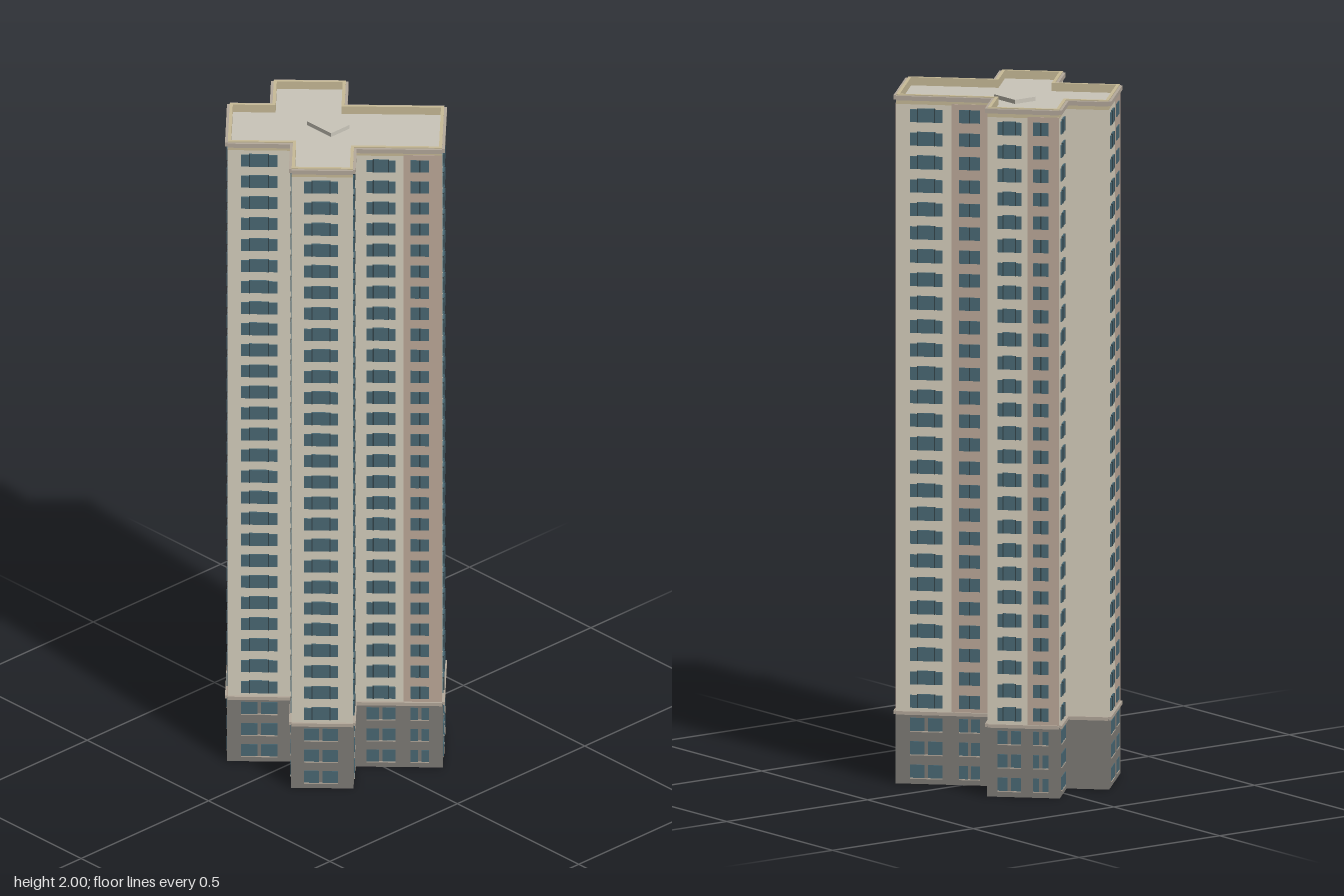
import * as THREE from 'three';
import { mergeGeometries } from 'three/addons/utils/BufferGeometryUtils.js';

const mat = (name, color) => {
  const m = new THREE.MeshStandardMaterial({ color });
  m.name = name;
  return m;
};

// Footprint corners (x, z), listed so each wall runs left to right seen from outside
const PLAN = [
  [0.135, -0.296], [-0.065, -0.096], [-0.167, -0.198], [-0.312, -0.053],
  [-0.212, 0.047], [-0.298, 0.133], [-0.136, 0.295], [-0.005, 0.164],
  [0.105, 0.274], [0.228, 0.151], [0.135, 0.058], [0.312, -0.119],
];
const COUNT = PLAN.length;
const TWO_BAY = [0, 2, 5, 10, 11]; // walls with a wide bay and a narrow tinted bay
const BLANK = 4;                   // wall without windows
const FLOOR = 0.068, FLOORS = 29, BASE_FLOORS = 3;
const BASE_TOP = 0.205, ROOF = 1.976, SPLIT = 0.56;

const walls = PLAN.map((a, i) => {
  const b = PLAN[(i + 1) % COUNT];
  const dx = b[0] - a[0], dz = b[1] - a[1], length = Math.hypot(dx, dz);
  return { a, dx, dz, length, nx: -dz / length, nz: dx / length };
});

// Footprint pushed outward by o (all corners are square)
const outline = (o) => PLAN.map(([x, z], i) => {
  const p = walls[(i + COUNT - 1) % COUNT], n = walls[i];
  return new THREE.Vector2(x + o * (p.nx + n.nx), -(z + o * (p.nz + n.nz)));
});

// Vertical prism on the footprint, optionally hollow
function prism(o, y0, y1, inner) {
  const shape = new THREE.Shape(outline(o));
  if (inner !== undefined) shape.holes.push(new THREE.Path(outline(inner)));
  return new THREE.ExtrudeGeometry(shape, { depth: y1 - y0, bevelEnabled: false })
    .rotateX(-Math.PI / 2).translate(0, y0, 0);
}

// Box on a wall: s0..s1 along it, y0..y1 up, d0..d1 outward
function onWall(w, s0, s1, y0, y1, d0, d1) {
  const s = (s0 + s1) / 2 / w.length, d = (d0 + d1) / 2;
  return new THREE.BoxGeometry(s1 - s0, y1 - y0, d1 - d0)
    .rotateY(Math.atan2(w.nx, w.nz))
    .translate(w.a[0] + w.dx * s + w.nx * d, (y0 + y1) / 2, w.a[1] + w.dz * s + w.nz * d);
}

export function createModel() {
  const cream = mat('cream wall', 0xd8d1bf);
  const tan = mat('pinkish tan wall', 0xbfab9b);
  const grey = mat('grey base', 0x7f7c77);
  const roofMat = mat('roof', 0xcac6ba);
  const coping = mat('parapet tan', 0xc9bc98);
  const ledge = mat('ledge', 0xb5aa9c);
  const glass = mat('window glass', 0x4a6975);
  const frame = mat('dark window frame', 0x33444a);

  const group = new THREE.Group();
  group.name = 'towerBlock';
  const add = (name, geometry, material) => {
    const mesh = new THREE.Mesh(geometry, material);
    mesh.name = name;
    group.add(mesh);
  };

  // Main masses, roof and parapet
  add('base', prism(0.002, 0, BASE_TOP), grey);
  add('tower', prism(0, BASE_TOP, ROOF - 0.004), cream);
  add('roofDeck', prism(-0.001, ROOF - 0.004, ROOF), roofMat);
  add('parapet', prism(0, ROOF - 0.004, 2, -0.009), coping);
  add('roofHatch', new THREE.BoxGeometry(0.1, 0.012, 0.073).translate(-0.035, ROOF + 0.006, -0.003), roofMat);

  const ledges = [], bays = [], panes = [], frames = [], sills = [];
  walls.forEach((w, i) => {
    // Separate ledge strips on each wall, open at the corners
    ledges.push(onWall(w, 0, w.length, 1.984, 1.997, 0, 0.008));
    ledges.push(onWall(w, 0, w.length, BASE_TOP - 0.004, BASE_TOP + 0.006, 0, 0.008));
    if (i === BLANK) return;

    const two = TWO_BAY.includes(i);
    if (two) bays.push(onWall(w, w.length * SPLIT, w.length, BASE_TOP, ROOF, 0, 0.0015));
    const columns = two ? [[0.14, 0.47], [0.64, 0.85]] : [[0.2, 0.76]];

    for (const [t0, t1] of columns) {
      const s0 = t0 * w.length, s1 = t1 * w.length, width = s1 - s0;
      for (let f = 0; f < FLOORS; f++) {
        const y = 0.037 + f * FLOOR;
        const inBase = f < BASE_FLOORS;
        const mid = (s0 + s1) / 2;
        if (inBase || width < 0.06) {
          // Paired casements
          const gap = inBase ? 0.005 : 0.002;
          panes.push(onWall(w, s0, mid - gap, y - 0.019, y + 0.019, 0, 0.004));
          panes.push(onWall(w, mid + gap, s1, y - 0.019, y + 0.019, 0, 0.004));
          if (inBase) sills.push(onWall(w, s0, s1, y - 0.022, y - 0.019, 0, 0.005));
          else frames.push(onWall(w, mid - gap, mid + gap, y - 0.019, y + 0.019, 0, 0.0035));
        } else {
          // Tall centre pane with lower side panes and thin mullions
          const m0 = s0 + width * 0.24, m1 = s1 - width * 0.24;
          panes.push(onWall(w, m0, m1, y - 0.02, y + 0.02, 0, 0.004));
          panes.push(onWall(w, s0, m0, y - 0.02, y + 0.017, 0, 0.0035));
          panes.push(onWall(w, m1, s1, y - 0.02, y + 0.017, 0, 0.0035));
          for (const m of [m0, m1]) frames.push(onWall(w, m - 0.0015, m + 0.0015, y - 0.02, y + 0.02, 0, 0.005));
        }
      }
    }
  });
  add('ledges', mergeGeometries(ledges), ledge);
  add('tintedBays', mergeGeometries(bays), tan);
  add('windowPanes', mergeGeometries(panes), glass);
  add('windowMullions', mergeGeometries(frames), frame);
  add('windowSills', mergeGeometries(sills), ledge);
  return group;
}
